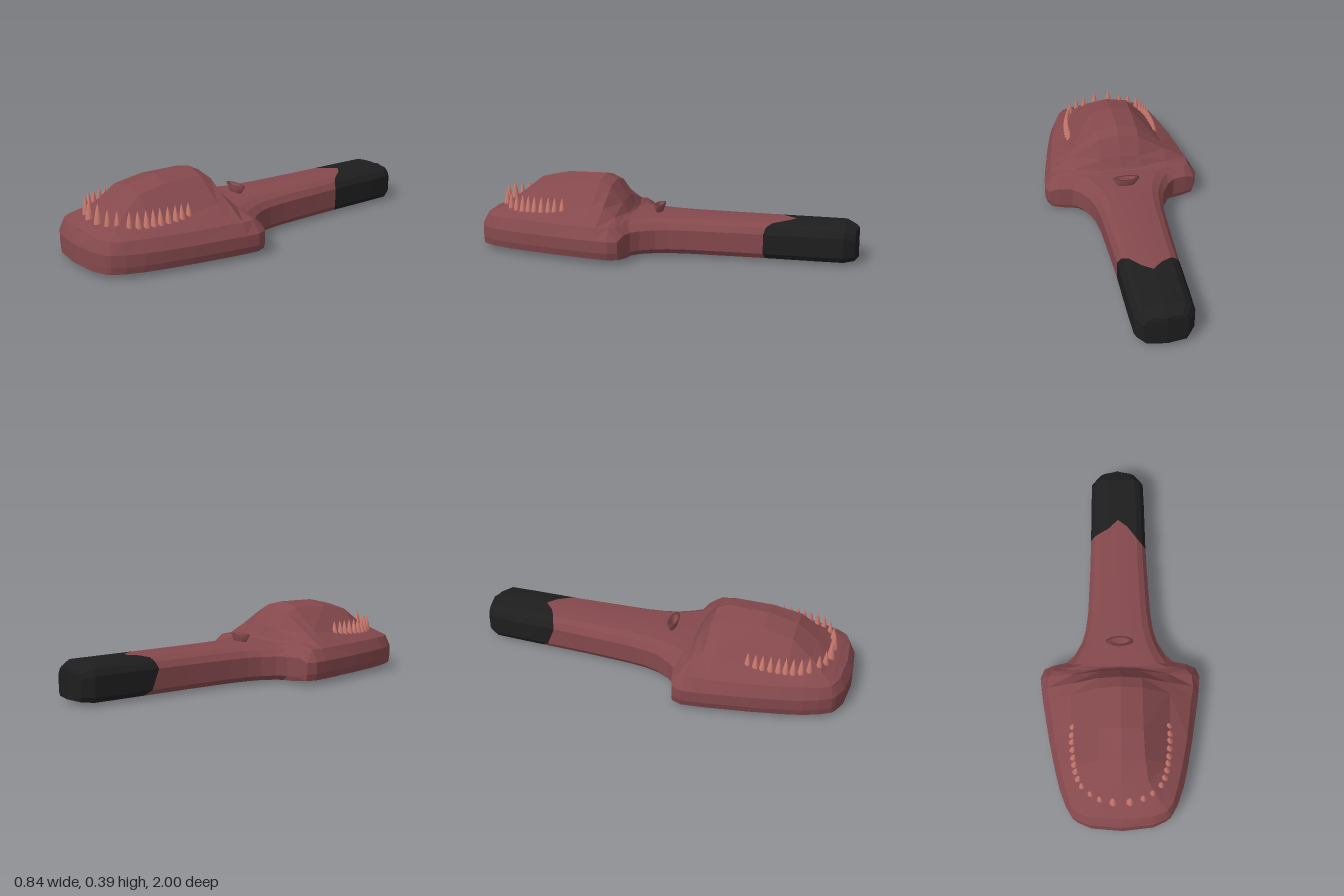
import * as THREE from 'three';

const skin = new THREE.MeshStandardMaterial({ color: 0x85494d });
skin.name = 'dull red skin';
const black = new THREE.MeshStandardMaterial({ color: 0x1e1e1e });
black.name = 'black grip';
const salmon = new THREE.MeshStandardMaterial({ color: 0xcb7a70 });
salmon.name = 'salmon teeth';

// Skin lofted over rings ordered front to back; flipped for inside surfaces
function loft(rings, flip = false) {
  const out = [];
  const tri = (a, b, c) => {
    const n = b.clone().sub(a).cross(c.clone().sub(a));
    if (n.length() < 1e-8) return;
    for (const p of flip ? [a, c, b] : [a, b, c]) out.push(p.x, p.y, p.z);
  };
  for (let i = 0; i < rings.length - 1; i++) {
    for (let j = 0; j < rings[i].length - 1; j++) {
      const a = rings[i][j], b = rings[i][j + 1], c = rings[i + 1][j], d = rings[i + 1][j + 1];
      // split each quad along its shorter diagonal
      if (b.distanceTo(c) < a.distanceTo(d)) {
        tri(a, c, b);
        tri(b, c, d);
      } else {
        tri(a, c, d);
        tri(a, d, b);
      }
    }
  }
  const g = new THREE.BufferGeometry();
  g.setAttribute('position', new THREE.Float32BufferAttribute(out, 3));
  g.computeVertexNormals();
  return g;
}

// Mirrors a half section; zs is one z, or one z per point of the full ring
function ring(half, zs) {
  const full = [...half, ...half.slice().reverse().map(([x, y]) => [-x, y])];
  return full.map(([x, y], i) => new THREE.Vector3(x, y, Array.isArray(zs) ? zs[i] : zs));
}

function add(parent, name, geometry, material) {
  const m = new THREE.Mesh(geometry, material);
  m.name = name;
  parent.add(m);
  return m;
}

// Head stations: z, half width, shoulder x y, dome foot x y, dome edge x y, crown y
const FRONT = [
  [1.0, 0, 0, 0.178, 0, 0.18, 0, 0.181, 0.182],
  [0.985, 0.16, 0.15, 0.178, 0.115, 0.181, 0.06, 0.183, 0.184],
  [0.955, 0.23, 0.212, 0.178, 0.15, 0.188, 0.07, 0.192, 0.194],
];
const HEAD = [
  FRONT[2],
  [0.94, 0.25, 0.23, 0.178, 0.16, 0.193, 0.08, 0.198, 0.2],
  [0.88, 0.285, 0.26, 0.178, 0.19, 0.208, 0.12, 0.213, 0.217],
  [0.80, 0.315, 0.285, 0.18, 0.215, 0.215, 0.135, 0.258, 0.277],
  [0.70, 0.34, 0.31, 0.18, 0.235, 0.218, 0.118, 0.335, 0.355],
  [0.55, 0.37, 0.34, 0.18, 0.25, 0.225, 0.112, 0.363, 0.388],
  [0.34, 0.405, 0.37, 0.18, 0.255, 0.252, 0.11, 0.365, 0.39],
  [0.28, 0.413, 0.38, 0.18, 0.255, 0.25, 0.11, 0.34, 0.36],
  [0.21, 0.42, 0.375, 0.18, 0.25, 0.209, 0.105, 0.255, 0.272],
  [0.16, 0.40, 0.345, 0.176, 0.245, 0.192, 0.11, 0.204, 0.212],
];
// Neck and handle: z, half width
const NECK = [[0.145, 0.35], [0.13, 0.28], [0.09, 0.24], [0.02, 0.2], [-0.05, 0.18], [-0.15, 0.167], [-0.4, 0.155]];
// Hollow stations: z, rim x, gum x, gum y, palate y
const HOLLOW = [
  [0.955, 0.215, 0.16, 0.025, 0.025], [0.91, 0.2525, 0.175, 0.06, 0.062], [0.855, 0.279, 0.2, 0.066, 0.068],
  [0.84, 0.285, 0.2, 0.066, 0.115], [0.70, 0.325, 0.235, 0.066, 0.115], [0.55, 0.355, 0.25, 0.066, 0.115],
  [0.34, 0.39, 0.265, 0.066, 0.115], [0.21, 0.405, 0.25, 0.066, 0.11], [0.16, 0.385, 0.24, 0.025, 0.025],
];

// Shoulders and top lean inward at the front tip and at the back corners
function leaningRing(half, z) {
  const back = 0.03 * Math.max(0, 1 - Math.abs(z - 0.15) / 0.08);
  const top = z - Math.max(0, z - 0.88) * 0.27 + back;
  return ring(half, [...half, ...half].map((_, i) => (i > 3 && i < 12 ? top : z)));
}
const headRing = ([z, w, xs, ys, xd, yd, xm, ym, top], closed) => leaningRing(
  [[closed ? 0 : w - 0.015, 0.025], [w * 0.975, 0.025], [w, 0.06], [w, 0.12], [xs, ys], [xd, yd], [xm, ym], [0, top]], z);
const hollowRing = ([z, rim, gum, gumY, palateY]) => ring(
  [[rim, 0.025], [gum * 0.95, gumY], [gum * 0.75, gumY], [gum * 0.68, palateY], [0, palateY]], z);
const handleHalf = (w) => [
  [0, 0.015], [w * 0.9, 0.015], [w, 0.04], [w, 0.14], [w * 0.87, 0.172], [w * 0.68, 0.191], [w * 0.33, 0.197], [0, 0.199]];

// Pointed tooth standing on its base
function toothGeometry(radius, height) {
  const profile = [[radius, 0], [radius * 0.83, 0.3], [radius * 0.45, 0.7], [0.0005, 1]];
  return new THREE.LatheGeometry(profile.map(([x, y]) => new THREE.Vector2(x, y * height)), 7);
}

export function createModel() {
  const model = new THREE.Group();
  model.name = 'toothedPaddle';

  // Ragged colour line around the handle
  const seam = ring(handleHalf(0.15), [
    -0.6, -0.54, -0.53, -0.53, -0.54, -0.57, -0.64, -0.68,
    -0.68, -0.63, -0.6, -0.59, -0.58, -0.62, -0.66, -0.6]);

  // Head, neck and red part of the handle in one skin
  add(model, 'headAndNeck', loft([
    ...FRONT.map((s) => headRing(s, true)),
    ...HEAD.map((s) => headRing(s, false)),
    headRing(HEAD[HEAD.length - 1], true),
    ...NECK.map(([z, w]) => leaningRing(handleHalf(w), z)),
    seam,
  ]), skin);

  // Shallow hollow with a gum ledge under the head
  add(model, 'mouthHollow', loft(HOLLOW.map(hollowRing), true), skin);

  // Black grip with a bevelled, upright end
  const endHalf = (w) => handleHalf(w).map(([x, y]) => [x, 0.02 + (y - 0.015) * 0.84]);
  add(model, 'grip', loft([
    seam,
    ring(handleHalf(0.147), -0.8),
    ring(handleHalf(0.143), -0.93),
    ring(endHalf(0.105), -0.985),
    ring(endHalf(0), -1),
  ]), black);

  // Flared oval socket on the neck
  const socket = add(model, 'neckSocket', new THREE.LatheGeometry(
    [[0.035, 0.18], [0.045, 0.197], [0.074, 0.236], [0.045, 0.236], [0.03, 0.205], [0, 0.205]]
      .map(([x, y]) => new THREE.Vector2(x, y)), 10), skin);
  socket.scale.z = 0.38;
  socket.position.z = 0.045;

  // Upper teeth: horseshoe around the dome
  const upper = new THREE.Group();
  upper.name = 'upperTeeth';
  const upperSpots = [[0.042, 0.885], [0.108, 0.87], [0.155, 0.845], [0.197, 0.805], [0.218, 0.768], [0.23, 0.73],
    [0.237, 0.695], [0.242, 0.66], [0.246, 0.62], [0.249, 0.58], [0.25, 0.545], [0.248, 0.505]];
  // Lower teeth: horseshoe hanging from the gum ledge
  const lower = new THREE.Group();
  lower.name = 'lowerTeeth';
  const lowerSpots = [[0.022, 0.888], [0.066, 0.882], [0.11, 0.868], [0.152, 0.842], [0.183, 0.805], [0.195, 0.765],
    [0.204, 0.725], [0.21, 0.685], [0.215, 0.645], [0.22, 0.6], [0.222, 0.56], [0.22, 0.515]];
  const lowerTooth = toothGeometry(0.019, 0.08);
  for (const side of [1, -1]) {
    upperSpots.forEach(([x, z], i) => {
      const height = i === 0 ? 0.1 : 0.085;
      const t = add(upper, 'upperTooth', toothGeometry(i === 0 ? 0.022 : 0.018, height), salmon);
      t.position.set(side * x, 0.207, z);
      t.rotation.z = i > 3 ? side * 0.1 : 0;
    });
    lowerSpots.forEach(([x, z]) => {
      const t = add(lower, 'lowerTooth', lowerTooth, salmon);
      t.position.set(side * x, 0.08, z);
      t.rotation.x = Math.PI;
    });
  }
  model.add(upper, lower);
  return model;
}
